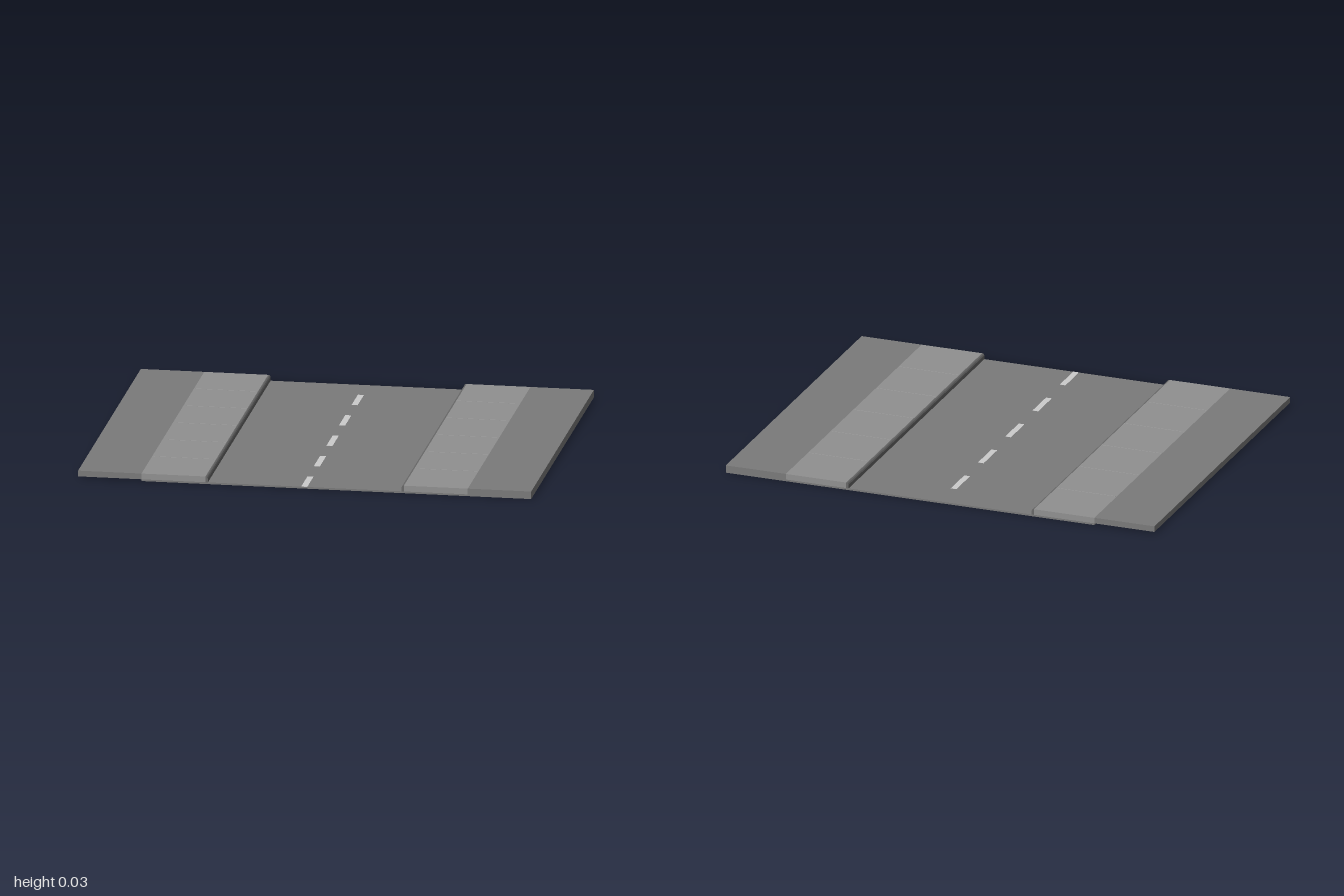
import * as THREE from 'three';

const DEPTH = 1.64, ROAD_TOP = 0.008, TOP = 0.034;

const asphalt = new THREE.MeshStandardMaterial({ color: 0x7a7a7a, flatShading: true });
const paving = new THREE.MeshStandardMaterial({ color: 0x909090, flatShading: true });
const jointGrey = new THREE.MeshStandardMaterial({ color: 0x9a9a9a, flatShading: true });
const curbGrey = new THREE.MeshStandardMaterial({ color: 0x686868, flatShading: true });
const paint = new THREE.MeshStandardMaterial({ color: 0xcccccc, flatShading: true });

// Box given by its limits on each axis
function slab(name, material, [x0, x1], [y0, y1], [z0, z1]) {
  const mesh = new THREE.Mesh(new THREE.BoxGeometry(x1 - x0, y1 - y0, z1 - z0), material);
  mesh.position.set((x0 + x1) / 2, (y0 + y1) / 2, (z0 + z1) / 2);
  mesh.name = name;
  return mesh;
}

// Cross-section in x and y, run along the whole street
function strip(name, material, points) {
  const shape = new THREE.Shape(points.map(([x, y]) => new THREE.Vector2(x, y)));
  const geometry = new THREE.ExtrudeGeometry(shape, { depth: DEPTH, bevelEnabled: false });
  geometry.translate(0, 0, -DEPTH / 2);
  const mesh = new THREE.Mesh(geometry, material);
  mesh.name = name;
  return mesh;
}

export function createModel() {
  const group = new THREE.Group();
  group.name = 'streetSection';
  const full = [-DEPTH / 2, DEPTH / 2];

  // Roadbed, running on under the left-hand ground
  group.add(slab('roadbed', asphalt, [-0.72, 1], [0, ROAD_TOP], full));

  // Dashed centre line
  for (let i = 0; i < 5; i++) {
    const z = -0.66 + i * 0.329;
    group.add(slab('laneDash', paint, [-0.015, 0.012], [ROAD_TOP - 0.002, ROAD_TOP + 0.001], [z, z + 0.163]));
  }

  for (const side of [-1, 1]) {
    const label = side > 0 ? 'left' : 'right';
    const span = (a, b) => (side > 0 ? [a, b] : [-b, -a]);

    // Raised ground beyond the pavement
    group.add(slab(label + 'Ground', asphalt, span(0.72, 1), [ROAD_TOP, TOP], full));

    // Pavement and its cross joints
    group.add(slab(label + 'Pavement', paving, span(0.438, 0.72), [ROAD_TOP, TOP], full));
    for (let i = -2; i <= 2; i++) {
      const z = i * 0.273 - 0.004;
      group.add(slab(label + 'PavementJoint', jointGrey, span(0.438, 0.715), [TOP - 0.002, TOP + 0.0003], [z - 0.002, z + 0.002]));
    }

    // Curb with a chamfered upper edge
    group.add(strip(label + 'Curb', curbGrey, [
      [0.438, ROAD_TOP], [0.438, TOP], [0.434, TOP],
      [0.43, TOP - 0.003], [0.427, TOP - 0.009], [0.427, ROAD_TOP],
    ].map(([x, y]) => [side * x, y])));
  }
  return group;
}
